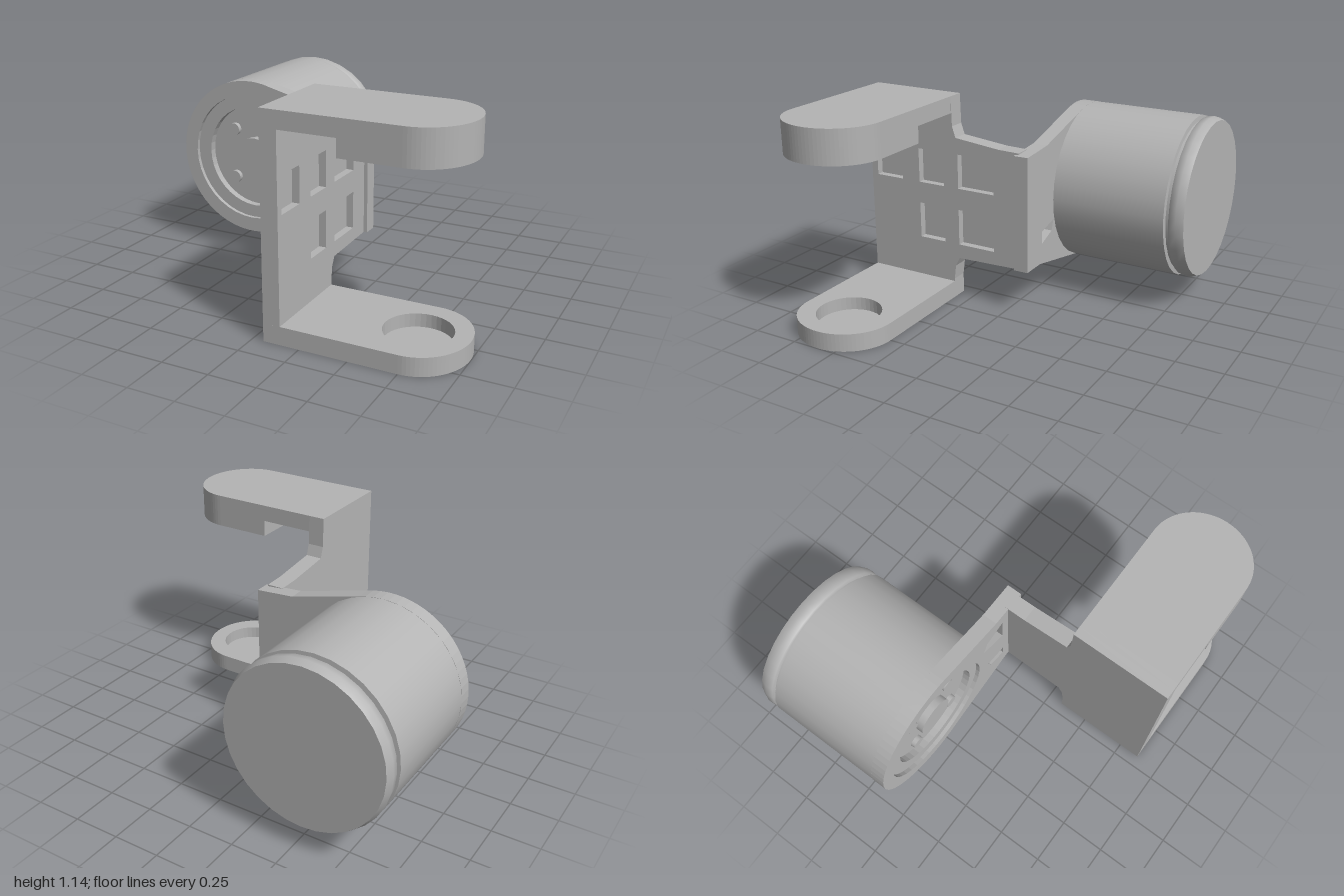
import * as THREE from 'three';

const grey = new THREE.MeshStandardMaterial({ color: 0xb4b4b4 });
grey.name = 'plain grey';

const CX = -0.555, CY = 0.573, R = 0.44; // motor axis

function polygon(points, Type = THREE.Shape) {
  return new Type(points.map(([x, y]) => new THREE.Vector2(x, y)));
}

function circle(x, y, r) {
  return new THREE.Path().absarc(x, y, r, 0, Math.PI * 2, true);
}

function extrude(shape, depth, holes = []) {
  shape.holes.push(...holes);
  return new THREE.ExtrudeGeometry(shape, { depth, bevelEnabled: false, curveSegments: 20 });
}

export function createModel() {
  const model = new THREE.Group();
  const add = (name, geometry, parent = model) => {
    const mesh = new THREE.Mesh(geometry, grey);
    mesh.name = name;
    parent.add(mesh);
    return mesh;
  };
  const group = (name) => {
    const g = new THREE.Group();
    g.name = name;
    model.add(g);
    return g;
  };

  // Motor housing with a narrow groove before its rear cap
  const profile = [[0, 0.13], [R, 0.13], [R, 0.13], [R, 0.765], [R, 0.765], [0.415, 0.768],
    [0.415, 0.768], [0.415, 0.785], [0.415, 0.785], [0.435, 0.79], [0.44, 0.83],
    [0.425, 0.868], [0.425, 0.868], [0, 0.868]];
  const housing = new THREE.LatheGeometry(profile.map(([r, h]) => new THREE.Vector2(r, h)), 32);
  housing.rotateX(-Math.PI / 2);
  housing.translate(CX, CY, 0);
  add('motorHousing', housing);

  // Mounting flange: stacked layers form the stepped pocket and cut-outs
  const flange = group('mountingFlange');
  const flangeOutline = () => {
    const s = new THREE.Shape();
    const a = THREE.MathUtils.degToRad(72);
    s.absarc(CX, CY, R, a, Math.PI * 2 - a, false);
    s.lineTo(0.03, 0.25);
    s.lineTo(0.17, 0.25);
    s.lineTo(0.17, 0.88);
    s.lineTo(-0.04, 0.895);
    s.closePath();
    return s;
  };
  const lowerCutout = () => polygon([[-0.12, 0.46], [-0.1, 0.4], [0.01, 0.36], [0.01, 0.43]], THREE.Path);
  const upperCutout = () => polygon([[-0.15, 0.7], [0.01, 0.62], [0.01, 0.8], [-0.12, 0.77]], THREE.Path);
  const layers = [
    ['flangeWeb', -0.135, 0.02, [lowerCutout()]],
    ['flangeStep', -0.115, 0.04, [lowerCutout(), upperCutout(), circle(CX + 0.01, CY, 0.29)]],
    ['flangeFace', -0.075, 0.022, [lowerCutout(), upperCutout(), circle(CX, CY, 0.36)]],
  ];
  for (const [name, z, depth, holes] of layers) {
    add(name, extrude(flangeOutline(), depth, holes), flange).position.z = z;
  }

  // Hub and bolts inside the flange pocket
  const disc = (name, x, y, r, depth) => {
    const g = new THREE.CylinderGeometry(r, r, depth, 16);
    g.rotateX(Math.PI / 2);
    add(name, g, flange).position.set(x, y, -0.115 + depth / 2);
  };
  disc('hub', CX + 0.01, CY, 0.11, 0.04);
  for (let i = 0; i < 4; i++) {
    const a = Math.PI / 4 + i * Math.PI / 2;
    disc('pocketBolt', CX + 0.01 + 0.2 * Math.cos(a), CY + 0.2 * Math.sin(a), 0.035, 0.025);
  }

  // Upright plate, drawn in (-z, y), with shallow windows on its inner side
  const plate = group('uprightPlate');
  const plateOutline = () => polygon([
    [-0.868, 0], [-0.335, 0], [-0.335, 0.11], [-0.325, 0.19], [-0.3, 0.24], [0.07, 0.25],
    [0.07, 0.89], [-0.05, 0.893], [-0.31, 0.92], [-0.33, 0.98], [-0.335, 1.14], [-0.868, 1.14],
  ]);
  const windows = [];
  for (const [z0, z1] of [[0.83, 0.66], [0.55, 0.39], [0.3, 0.08]]) {
    for (const [y0, y1] of [[0.32, 0.52], [0.64, 0.83]]) {
      if (z0 > 0.8 && y0 < 0.5) continue;
      windows.push(polygon([[-z0, y0], [-z0, y1], [-z1, y1], [-z1, y0]], THREE.Path));
    }
  }
  for (const [name, x, depth, holes] of [['plateBack', 0.06, 0.05, []], ['plateFront', 0.11, 0.04, windows]]) {
    add(name, extrude(plateOutline(), depth, holes).rotateY(Math.PI / 2), plate).position.x = x;
  }

  // Rounded arms, drawn in (x, z) and extruded downwards from their top
  const armOutline = (x0) => {
    const s = new THREE.Shape();
    s.moveTo(x0, 0.335);
    s.lineTo(0.75, 0.335);
    s.absellipse(0.75, 0.602, 0.248, 0.267, -Math.PI / 2, Math.PI / 2, false);
    s.lineTo(x0, 0.868);
    s.closePath();
    return s;
  };
  const slab = (name, parent, x0, top, depth, holes) => {
    const g = extrude(armOutline(x0), depth, holes).rotateX(Math.PI / 2);
    add(name, g, parent).position.y = top;
  };
  const bore = () => circle(0.74, 0.602, 0.17);

  const lowerArm = group('lowerArm');
  slab('lowerArmBase', lowerArm, 0.06, 0.025, 0.025, []);
  slab('lowerArmRim', lowerArm, 0.06, 0.095, 0.07, [bore()]);

  const upperArm = group('upperArm');
  slab('upperArmSlab', upperArm, 0.06, 1.14, 0.09, []);
  slab('upperArmBoss', upperArm, 0.445, 1.05, 0.09, [bore()]);

  return model;
}
